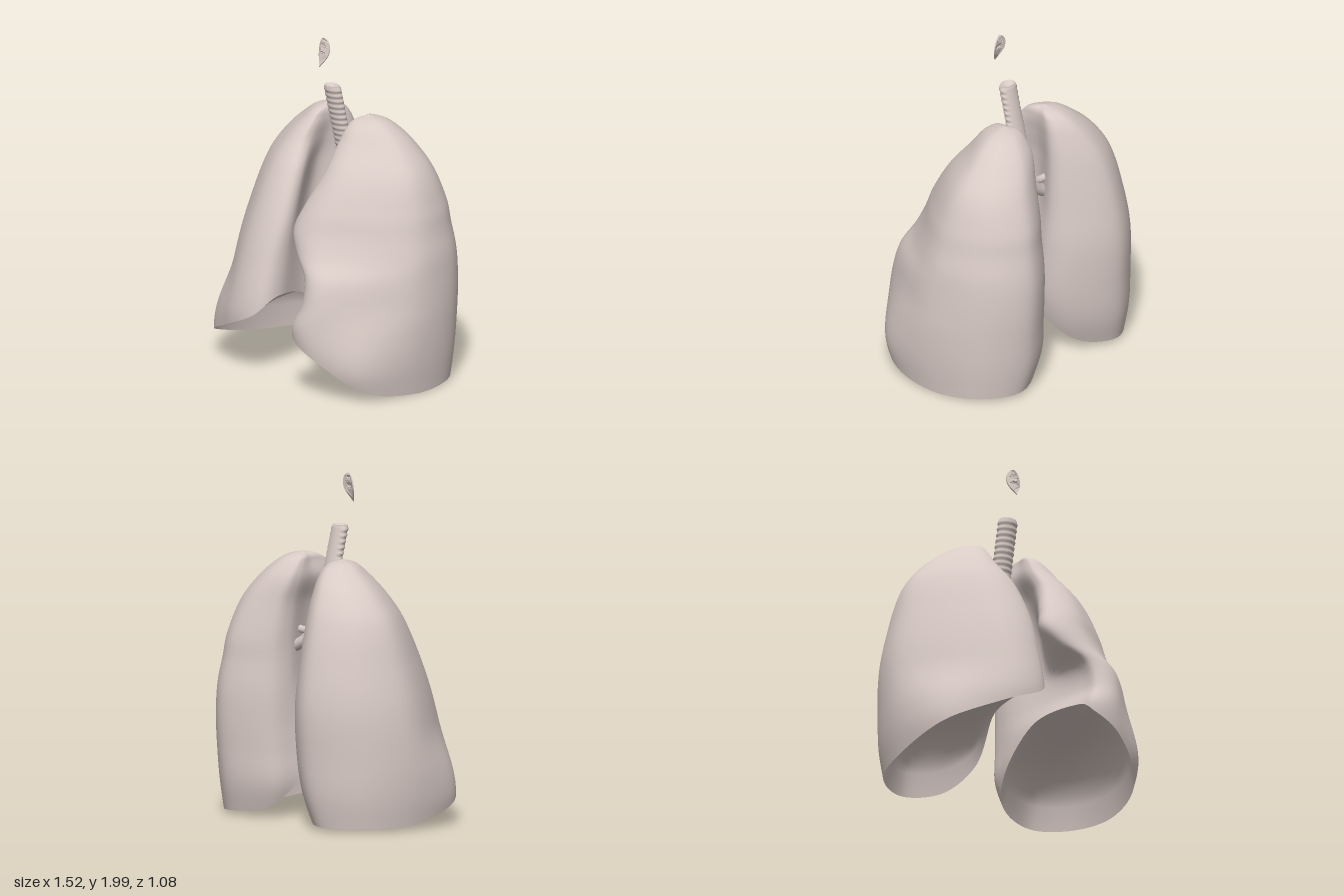
import * as THREE from 'three';

const tissue = new THREE.MeshStandardMaterial({ color: 0xd8cac5, side: THREE.DoubleSide });
tissue.name = 'paleTissue';

const { lerp, smoothstep } = THREE.MathUtils;
const hermite = (a, b, ma, mb, t) => {
  const t2 = t * t, t3 = t2 * t;
  return (2 * t3 - 3 * t2 + 1) * a + (t3 - 2 * t2 + t) * ma + (3 * t2 - 2 * t3) * b + (t3 - t2) * mb;
};

// Smoothly interpolates the section rows [y, ...sizes] at height y
function rowAt(rows, y) {
  const n = rows.length - 1;
  let i = 0;
  while (i < n - 1 && y > rows[i + 1][0]) i++;
  const h = rows[i + 1][0] - rows[i][0];
  const t = THREE.MathUtils.clamp((y - rows[i][0]) / h, 0, 1);
  const slope = (k, c) => {
    const a = rows[Math.max(k - 1, 0)], b = rows[Math.min(k + 1, n)];
    return (b[c] - a[c]) / (b[0] - a[0]) * h;
  };
  return rows[i].map((v, c) => hermite(v, rows[i + 1][c], slope(i, c), slope(i + 1, c), t));
}

// Smooth closed loop through a list of numbers, u in 0..1
function loopAt(list, u) {
  const n = list.length, f = (u * n) % n, i = Math.floor(f);
  const p = k => list[(i + k + n) % n];
  return hermite(p(0), p(1), (p(1) - p(-1)) / 2, (p(2) - p(0)) / 2, f - i);
}

// Horizontal lung section: back, outer side, front, front inner tip, inner side.
// The front outer corner is full at the base and slimmer higher up.
function sectionPoint(rows, corner, y, u) {
  const [, back, mid, tip, outer, zb, zf] = rowAt(rows, y);
  const slim = smoothstep(y, 0.1, 0.6);
  const xs = [lerp(back, outer, 0.49), lerp(back, outer, 0.87), outer, lerp(tip, outer, 0.85 - 0.05 * slim),
    lerp(tip, outer, 0.42 - 0.03 * slim), lerp(tip, outer, 0.09), tip, mid, back, lerp(back, outer, corner)];
  const zs = [0, 0.17, 0.5 - 0.03 * slim, 0.84 - 0.11 * slim, 0.985 - 0.02 * slim, 0.98, 0.86, 0.56, 0.28, 0.11]
    .map(k => lerp(zb, zf, k));
  return [loopAt(xs, u), loopAt(zs, u)];
}

// Skin over closed loops; point(u, v) gives [x, y, z]
function loft(point, nu, nv, flip) {
  const pos = [], index = [];
  for (let j = 0; j <= nv; j++)
    for (let i = 0; i < nu; i++) pos.push(...point(i / nu, j / nv));
  for (let j = 0; j < nv; j++)
    for (let i = 0; i < nu; i++) {
      const a = j * nu + i, b = j * nu + (i + 1) % nu, c = a + nu, d = b + nu;
      if (flip) index.push(a, b, c, b, d, c);
      else index.push(a, c, b, b, c, d);
    }
  const g = new THREE.BufferGeometry();
  g.setAttribute('position', new THREE.Float32BufferAttribute(pos, 3));
  g.setIndex(index);
  g.computeVertexNormals();
  return g;
}

function add(parent, geometry, name) {
  const m = new THREE.Mesh(geometry, tissue);
  m.name = name;
  parent.add(m);
}

// One lung: outer body above a slanting rim, and the hollow dome under it
function lung(name, side, rows, corner, rim, dome) {
  const g = new THREE.Group();
  g.name = name;
  const top = rows[rows.length - 1][0];
  const body = (u, v) => {
    const y = lerp(loopAt(rim, u), top, Math.sin(v * Math.PI / 2));
    const [x, z] = sectionPoint(rows, corner, y, u);
    return [side * x, y, z];
  };
  const base = (u, v) => {
    const [x, y, z] = body(u, 0);
    return [lerp(side * dome[0], x, v), lerp(dome[1], y, 1 - Math.sqrt(1 - v * v)), lerp(dome[2], z, v)];
  };
  add(g, loft(body, 100, 64, side < 0), name + 'Body');
  add(g, loft(base, 100, 16, side < 0), name + 'Base');
  return g;
}

// Windpipe: ringed in front, smooth and flatter behind, leaning forward
function windpipe() {
  const bottom = 1.15, top = 1.695, rings = 16, pts = [];
  for (let i = 0; i <= rings * 6; i++) pts.push(new THREE.Vector2(0.06, lerp(bottom, top, i / (rings * 6))));
  pts.push(new THREE.Vector2(0.052, 1.705), new THREE.Vector2(0.045, 1.69), new THREE.Vector2(0, 1.68));
  const g = new THREE.LatheGeometry(pts, 32), p = g.attributes.position;
  for (let i = 0; i < p.count; i++) {
    const x = p.getX(i), y = p.getY(i), z = p.getZ(i), r = Math.hypot(x, z);
    const front = smoothstep(z / (r || 1), -0.75, -0.3);
    const wave = Math.cos((y - bottom) / (top - bottom) * rings * Math.PI * 2);
    const k = r > 0.055 ? 1 - 0.05 * front * wave : 1;
    p.setXYZ(i, x * k, y, z * k * (z < 0 ? 0.6 : 0.75) - 0.125 + (y - 1.18) * 0.235);
  }
  g.computeVertexNormals();
  return g;
}

function tube(points, radius) {
  const curve = new THREE.CatmullRomCurve3(points.map(p => new THREE.Vector3(...p)));
  return new THREE.TubeGeometry(curve, 24, radius, 16);
}

// Leaf-shaped flap with small pits, folded back along its midline
function flap() {
  const s = new THREE.Shape();
  s.moveTo(0, 1.83);
  s.bezierCurveTo(0.012, 1.86, 0.045, 1.885, 0.045, 1.93);
  s.bezierCurveTo(0.045, 1.965, 0.025, 2, 0, 2);
  s.bezierCurveTo(-0.025, 2, -0.045, 1.965, -0.045, 1.93);
  s.bezierCurveTo(-0.045, 1.885, -0.012, 1.86, 0, 1.83);
  for (const side of [-1, 1])
    for (const [x, y, r] of [[0.014, 1.975, 0.004], [0.026, 1.95, 0.005], [0.012, 1.925, 0.004], [0.025, 1.91, 0.004]])
      s.holes.push(new THREE.Path().absarc(side * x, y, r, 0, Math.PI * 2, true));
  const g = new THREE.ExtrudeGeometry(s, { depth: 0.008, bevelEnabled: false, curveSegments: 10 });
  const p = g.attributes.position;
  for (let i = 0; i < p.count; i++) {
    const x = p.getX(i), t = (p.getY(i) - 1.83) / 0.17;
    p.setZ(i, p.getZ(i) + 0.092 - 0.035 * t - 0.55 * Math.abs(x) * (1 - 0.4 * t));
  }
  g.computeVertexNormals();
  return g;
}

export function createModel() {
  const model = new THREE.Group();
  model.name = 'lungsAndAirway';

  // Rows: y, inner back x, inner middle x, front tip x, outer x, back z, front z
  model.add(lung('rightLung', -1, [
    [0, 0.17, 0.2, 0.10, 0.725, -0.46, 0.46],
    [0.2, 0.09, 0.15, 0.05, 0.755, -0.51, 0.52],
    [0.4, 0.05, 0.13, 0.025, 0.76, -0.53, 0.54],
    [0.7, 0.055, 0.15, 0.03, 0.735, -0.54, 0.47],
    [0.95, 0.08, 0.2, 0.04, 0.68, -0.505, 0.38],
    [1.2, 0.10, 0.19, 0.08, 0.60, -0.44, 0.25],
    [1.35, 0.11, 0.16, 0.13, 0.49, -0.37, 0.13],
    [1.46, 0.12, 0.14, 0.14, 0.36, -0.29, 0.03],
    [1.515, 0.14, 0.15, 0.15, 0.27, -0.21, -0.04],
    [1.535, 0.19, 0.19, 0.19, 0.19, -0.125, -0.125],
  ], 0.13, [0.03, 0.03, 0.04, 0.14, 0.28, 0.39, 0.5, 0.42, 0.2, 0.06], [0.4, 0.44, 0]));

  // The left lung has a notch in its front inner edge
  model.add(lung('leftLung', 1, [
    [0, 0.18, 0.2, 0.28, 0.73, -0.465, 0.42],
    [0.2, 0.11, 0.14, 0.25, 0.755, -0.51, 0.51],
    [0.4, 0.115, 0.14, 0.22, 0.76, -0.53, 0.545],
    [0.55, 0.125, 0.19, 0.275, 0.75, -0.54, 0.51],
    [0.7, 0.13, 0.22, 0.25, 0.735, -0.54, 0.47],
    [0.8, 0.135, 0.23, 0.13, 0.72, -0.53, 0.43],
    [0.92, 0.14, 0.23, 0.055, 0.69, -0.51, 0.39],
    [1.05, 0.14, 0.22, 0.08, 0.66, -0.49, 0.33],
    [1.25, 0.13, 0.18, 0.13, 0.58, -0.42, 0.2],
    [1.4, 0.10, 0.12, 0.12, 0.45, -0.34, 0.08],
    [1.49, 0.11, 0.13, 0.13, 0.34, -0.26, 0.01],
    [1.525, 0.13, 0.14, 0.14, 0.27, -0.2, -0.05],
    [1.545, 0.18, 0.18, 0.18, 0.18, -0.125, -0.125],
  ], 0.08, [0.03, 0.02, 0.01, 0.06, 0.24, 0.35, 0.43, 0.43, 0.2, 0.06], [0.42, 0.43, 0]));

  // Airway
  add(model, windpipe(), 'windpipe');
  add(model, tube([[0, 1.2, -0.12], [0.04, 1.12, -0.14], [0.1, 1.04, -0.17], [0.28, 0.95, -0.2]], 0.034), 'leftBronchus');
  add(model, tube([[0, 1.2, -0.12], [-0.04, 1.12, -0.13], [-0.09, 1.04, -0.14], [-0.27, 0.93, -0.15]], 0.036), 'rightBronchus');
  for (const side of [-1, 1])
    add(model, tube([[side * 0.03, 1.13, -0.135], [side * 0.09, 1.09, -0.15], [side * 0.28, 1.1, -0.16]], 0.022), 'upperBranch');
  add(model, flap(), 'epiglottis');
  return model;
}
